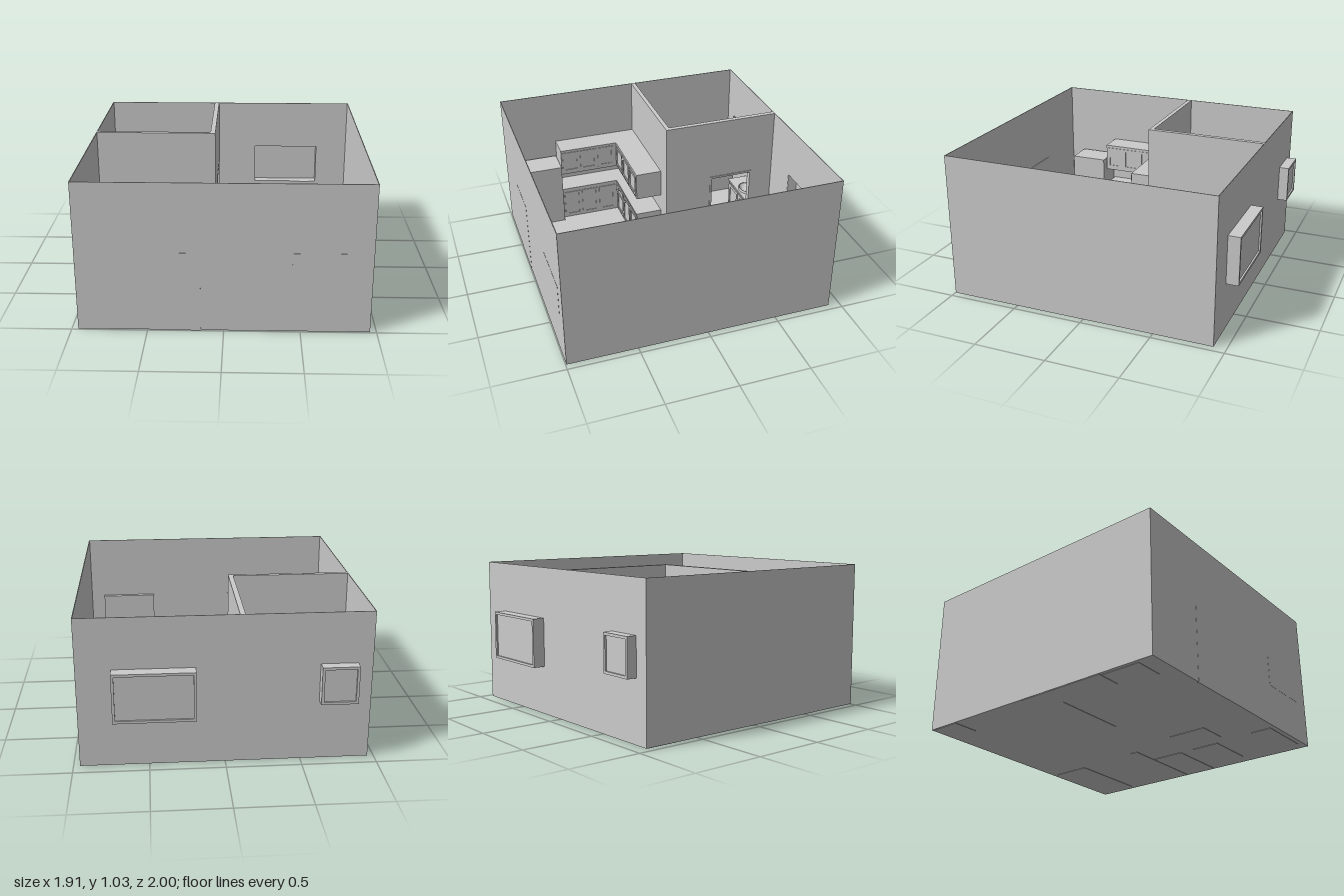
import * as THREE from 'three';

const mat = new THREE.MeshStandardMaterial({ color: 0xcccccc, side: THREE.DoubleSide });

export function createModel() {
  const root = new THREE.Group();
  let parent = root;

  const add = (name, geo) => {
    const m = new THREE.Mesh(geo, mat);
    m.name = name;
    parent.add(m);
    return m;
  };
  // box given by its extents
  const box = (name, x0, x1, y0, y1, z0, z1) =>
    add(name, new THREE.BoxGeometry(x1 - x0, y1 - y0, z1 - z0))
      .position.set((x0 + x1) / 2, (y0 + y1) / 2, (z0 + z1) / 2);
  const group = (name, build) => {
    const g = new THREE.Group();
    g.name = name;
    root.add(g);
    parent = g;
    build();
    parent = root;
  };
  // rectangular outline of points, reversed for holes by the triangulator
  const rect = (P, x0, x1, y0, y1) => {
    const p = new P();
    p.moveTo(x0, y0); p.lineTo(x1, y0); p.lineTo(x1, y1); p.lineTo(x0, y1); p.closePath();
    return p;
  };
  // slab in the xy plane with rectangular holes
  const slab = (name, outer, holes, depth) => {
    const s = rect(THREE.Shape, ...outer);
    s.holes = holes.map(h => rect(THREE.Path, ...h));
    return add(name, new THREE.ExtrudeGeometry(s, { depth, bevelEnabled: false }));
  };

  const X0 = -0.957, X1 = 0.957, Z0 = -0.915, Z1 = 0.995, H = 1.03, F = 0.008, T = 0.005;
  const windows = [
    { name: 'smallWindow', r: [-0.86, -0.615, 0.42, 0.68], z: -0.985 },
    { name: 'largeWindow', r: [0.19, 0.73, 0.34, 0.68], z: -1.0 },
  ];

  // shell
  group('outerWalls', () => {
    box('floor', X0, X1, 0.003, F, Z0, Z1);
    box('leftWall', X1 - T, X1, F, H, Z0, Z1);
    box('rightWall', X0, X0 + T, F, H, Z0, Z1);
    box('frontWall', X0, X1, F, H, Z1 - T, Z1);
    slab('backWall', [X0, X1, F, H],
      windows.map(({ r: [a, b, c, d] }) => [a + 0.015, b - 0.015, c + 0.015, d - 0.015]), T).position.z = Z0;
  });

  // box windows standing out of the back wall
  for (const { name, r: [a, b, c, d], z } of windows) group(name, () => {
    const t = 0.018;
    slab('windowFrame', [a, b, c, d], [[a + t, b - t, c + t, d - t]], Z0 - z + 0.003).position.z = z;
    box('windowPane', a + t, b - t, c + t, d - t, z + 0.012, z + 0.018);
  });

  // front door, nearly flush with the wall
  group('frontDoor', () => {
    box('doorLeaf', -0.48, -0.15, 0, 0.555, Z1 - 0.01, Z1 + 0.001);
    const k = add('doorKnob', new THREE.SphereGeometry(0.01, 12, 8));
    k.position.set(-0.19, 0.27, Z1 - 0.015);
  });

  // bathroom walls with a doorway
  group('bathroomWalls', () => {
    box('bathroomFrontWall', X0, -0.09, F, H, -0.085, -0.055);
    box('wallBehindDoor', -0.125, -0.09, F, H, Z0, -0.74);
    box('wallBesideDoor', -0.125, -0.09, F, H, -0.41, -0.085);
    box('wallAboveDoor', -0.125, -0.09, 0.57, H, -0.74, -0.41);
    for (const z of [-0.745, -0.42]) box('doorJamb', -0.13, -0.085, F, 0.575, z, z + 0.015);
    box('doorHead', -0.13, -0.085, 0.56, 0.575, -0.745, -0.405);
  });

  // vanity with round basin and tap
  group('vanity', () => {
    box('vanityCabinet', -0.525, -0.13, F, 0.235, Z0, -0.755);
    const top = new THREE.Shape();
    top.moveTo(-0.53, 0.75); top.lineTo(-0.127, 0.75); top.lineTo(-0.127, 0.91); top.lineTo(-0.53, 0.91);
    const hole = new THREE.Path();
    hole.absellipse(-0.325, 0.825, 0.062, 0.05, 0, Math.PI * 2, true);
    top.holes.push(hole);
    const t = add('vanityTop', new THREE.ExtrudeGeometry(top, { depth: 0.015, bevelEnabled: false, curveSegments: 24 }));
    t.rotation.x = -Math.PI / 2;
    t.position.y = 0.235;
    const bowl = [[0.0, 0.238], [0.035, 0.24], [0.058, 0.252], [0.066, 0.27], [0.075, 0.272], [0.075, 0.25]];
    const b = add('basin', new THREE.LatheGeometry(bowl.map(p => new THREE.Vector2(...p)), 32));
    b.scale.z = 0.82;
    b.position.set(-0.325, 0, -0.825);
    for (let i = 0; i < 2; i++) {
      const x = -0.51 + i * 0.19;
      slab('vanityDoor', [x, x + 0.18, 0.03, 0.225], [[x + 0.025, x + 0.155, 0.055, 0.2]], 0.007).position.z = -0.755;
    }
    const spout = new THREE.CatmullRomCurve3([[0.25, -0.895], [0.31, -0.895], [0.325, -0.87], [0.305, -0.85]]
      .map(([y, z]) => new THREE.Vector3(-0.325, y, z)));
    add('tap', new THREE.TubeGeometry(spout, 16, 0.007, 10));
    for (const x of [-0.375, -0.275]) {
      add('tapHandle', new THREE.CylinderGeometry(0.01, 0.012, 0.03, 12)).position.set(x, 0.265, -0.895);
      box('tapLever', x - 0.02, x + 0.02, 0.28, 0.286, -0.9, -0.89);
    }
  });

  // bathtub
  group('bathtub', () => {
    const layer = (name, outer, inner, y, h) => {
      const m = slab(name, outer, [inner], h);
      m.rotation.x = -Math.PI / 2;
      m.position.y = y;
    };
    layer('tubBody', [-0.66, -0.13, 0.09, 0.34], [-0.645, -0.165, 0.115, 0.325], F, 0.13);
    layer('tubRim', [-0.675, -0.127, 0.085, 0.35], [-0.65, -0.16, 0.11, 0.33], F + 0.13, 0.015);
    box('tubBottom', -0.65, -0.16, F, 0.04, -0.33, -0.11);
    box('tubTap', -0.22, -0.125, 0.2, 0.215, -0.235, -0.21);
  });

  // cistern and storage unit
  group('cistern', () => {
    box('cisternTank', -0.905, -0.72, 0.16, 0.3, -0.155, -0.085);
    box('cisternLid', -0.912, -0.715, 0.3, 0.315, -0.163, -0.085);
    box('flushLever', -0.927, -0.905, 0.265, 0.275, -0.14, -0.115);
  });
  box('bathroomCabinet', -0.95, -0.757, 0, 0.26, -0.89, -0.68);

  // kitchen: lower and upper cabinets in an L
  group('kitchen', () => {
    const door = (onSide, name, a, b, y0, y1) => {
      const m = slab(name, [a, b, y0, y1], [[a + 0.02, b - 0.02, y0 + 0.02, y1 - 0.02]], 0.006);
      if (onSide) { m.rotation.y = -Math.PI / 2; m.position.x = -0.765; }
      else m.position.z = 0.138;
    };
    for (const [level, y0, y1] of [['lower', 0, 0.26], ['upper', 0.41, 0.62]]) {
      box(level + 'CabinetBack', -0.77, -0.22, y0, y1, -0.055, 0.138);
      box(level + 'CabinetSide', X0 + T, -0.77, y0, y1, -0.055, 0.59);
      for (let i = 0; i < 3; i++) {
        const a = -0.755 + i * 0.178, s = 0.16 + i * 0.143;
        door(false, level + 'Door', a, a + 0.165, y0 + 0.02, y1 - 0.02);
        door(true, level + 'Door', s, s + 0.133, y0 + 0.02, y1 - 0.02);
      }
    }
    box('worktopBack', -0.77, -0.22, 0.26, 0.275, -0.055, 0.143);
    box('worktopSide', X0 + T, -0.765, 0.26, 0.275, -0.055, 0.595);
    // oven handle
    box('ovenHandle', -0.71, -0.49, 0.215, 0.225, 0.155, 0.165);
    for (const x of [-0.7, -0.51]) box('handleMount', x, x + 0.01, 0.215, 0.225, 0.14, 0.157);
  });
  box('fridge', -0.932, -0.727, 0, 0.5, 0.6, 0.875);
  add('bin', new THREE.CylinderGeometry(0.067, 0.067, 0.18, 32)).position.set(-0.16, 0.095, 0.03);

  // sleeping corner and low divider
  box('bed', 0.31, 0.91, 0, 0.15, -0.88, -0.595);
  box('divider', 0.28, 0.945, 0, 0.4, -0.115, -0.06);

  // seating
  group('sofa', () => {
    box('sofaBack', 0.49, 0.94, 0, 0.25, -0.05, 0.055);
    box('sofaSeat', 0.49, 0.94, 0, 0.13, 0.055, 0.19);
  });
  group('armchair', () => {
    box('armchairBack', 0.175, 0.275, 0, 0.25, 0.315, 0.6);
    box('armchairSeat', 0.275, 0.405, 0, 0.13, 0.315, 0.6);
  });
  box('coffeeTable', 0.49, 0.845, 0, 0.11, 0.3, 0.51);

  // screen on its stand
  box('screenStand', 0.465, 0.865, 0, 0.16, 0.81, 0.96);
  box('screen', 0.44, 0.85, 0.31, 0.56, 0.96, Z1 + 0.001);

  return root;
}
